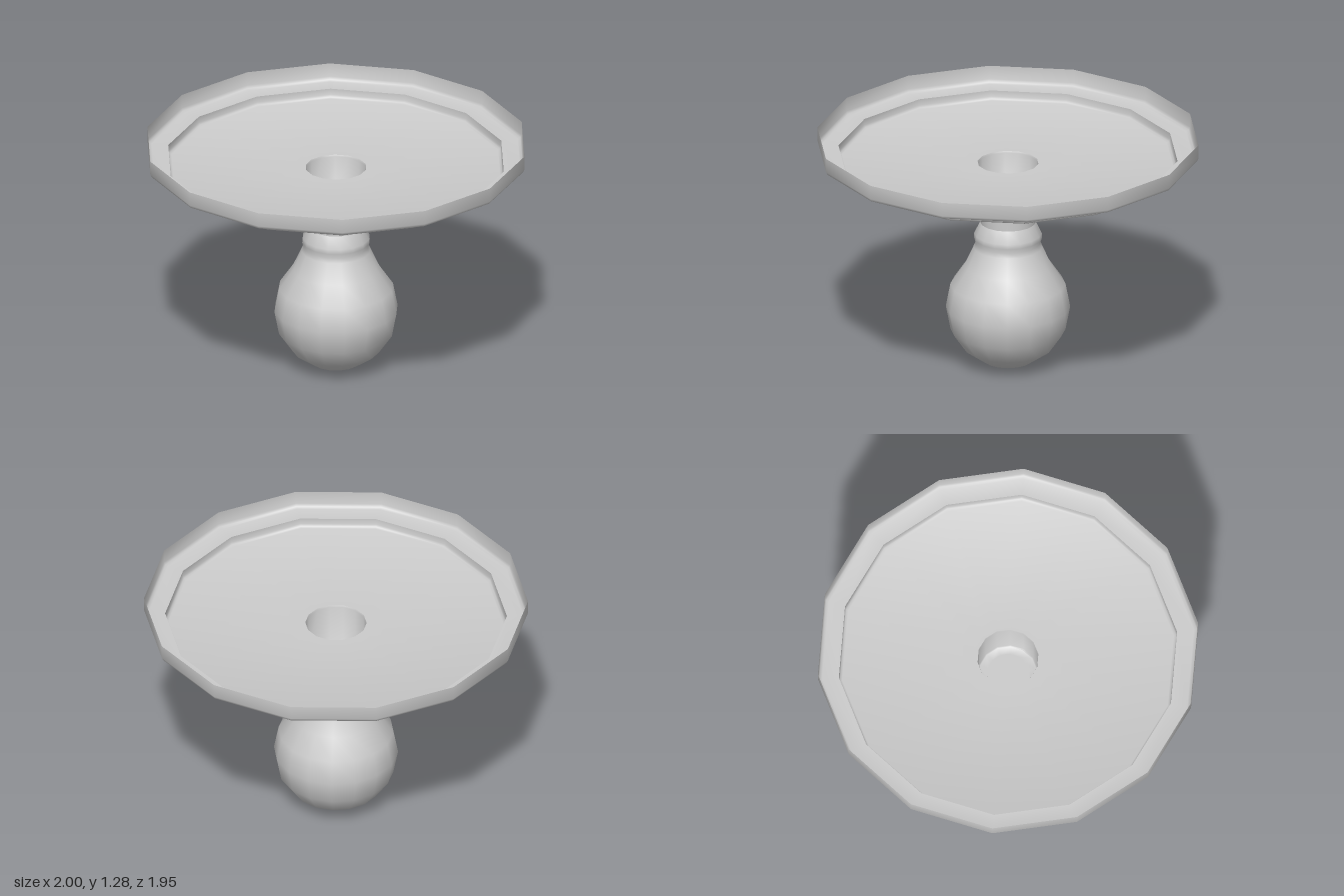
import * as THREE from 'three';
import { toCreasedNormals } from 'three/addons/utils/BufferGeometryUtils.js';

const material = new THREE.MeshStandardMaterial({ color: 0xcccccc, side: THREE.DoubleSide });

// Revolves [radius, height] pairs, listed bottom to top, with a corner on +x.
function turned(name, profile, sides, crease) {
  const points = profile.map(([r, y]) => new THREE.Vector2(r, y));
  const lathe = new THREE.LatheGeometry(points, sides, Math.PI / 2);
  const mesh = new THREE.Mesh(toCreasedNormals(lathe, crease), material);
  mesh.name = name;
  return mesh;
}

export function createModel() {
  const lamp = new THREE.Group();
  lamp.name = 'ceilingLamp';

  // Thin stepped dish, open at the top, with a hole over the socket
  lamp.add(turned('ceilingPlate', [
    [0.16, 1.135], [0.872, 1.135], [0.884, 1.14], [0.89, 1.152], [0.89, 1.185],
    [0.978, 1.185], [0.993, 1.191], [1, 1.206], [1, 1.28],
  ], 14, 0.9));

  // Socket cup hanging from the plate, with an opening in its floor
  lamp.add(turned('socket', [
    [0.11, 0.893], [0.152, 0.893], [0.158, 0.9], [0.158, 1.125], [0.163, 1.135],
  ], 14, 0.9));

  // Stem joining the bulb to the socket
  lamp.add(turned('bulbStem', [[0.11, 0.88], [0.11, 0.897], [0, 0.897]], 24, 0.7));

  // Collar at the top of the bulb
  lamp.add(turned('bulbCollar', [[0.143, 0.79], [0.143, 0.884], [0, 0.884]], 16, 0.7));

  // Glass bulb with a flared shoulder
  lamp.add(turned('bulb', [
    [0, 0], [0.13, 0.032], [0.23, 0.102], [0.3, 0.203], [0.324, 0.33], [0.3, 0.455],
    [0.228, 0.56], [0.18, 0.665], [0.17, 0.69], [0.178, 0.715], [0.176, 0.74], [0.145, 0.803],
  ], 16, 1.2));

  return lamp;
}
